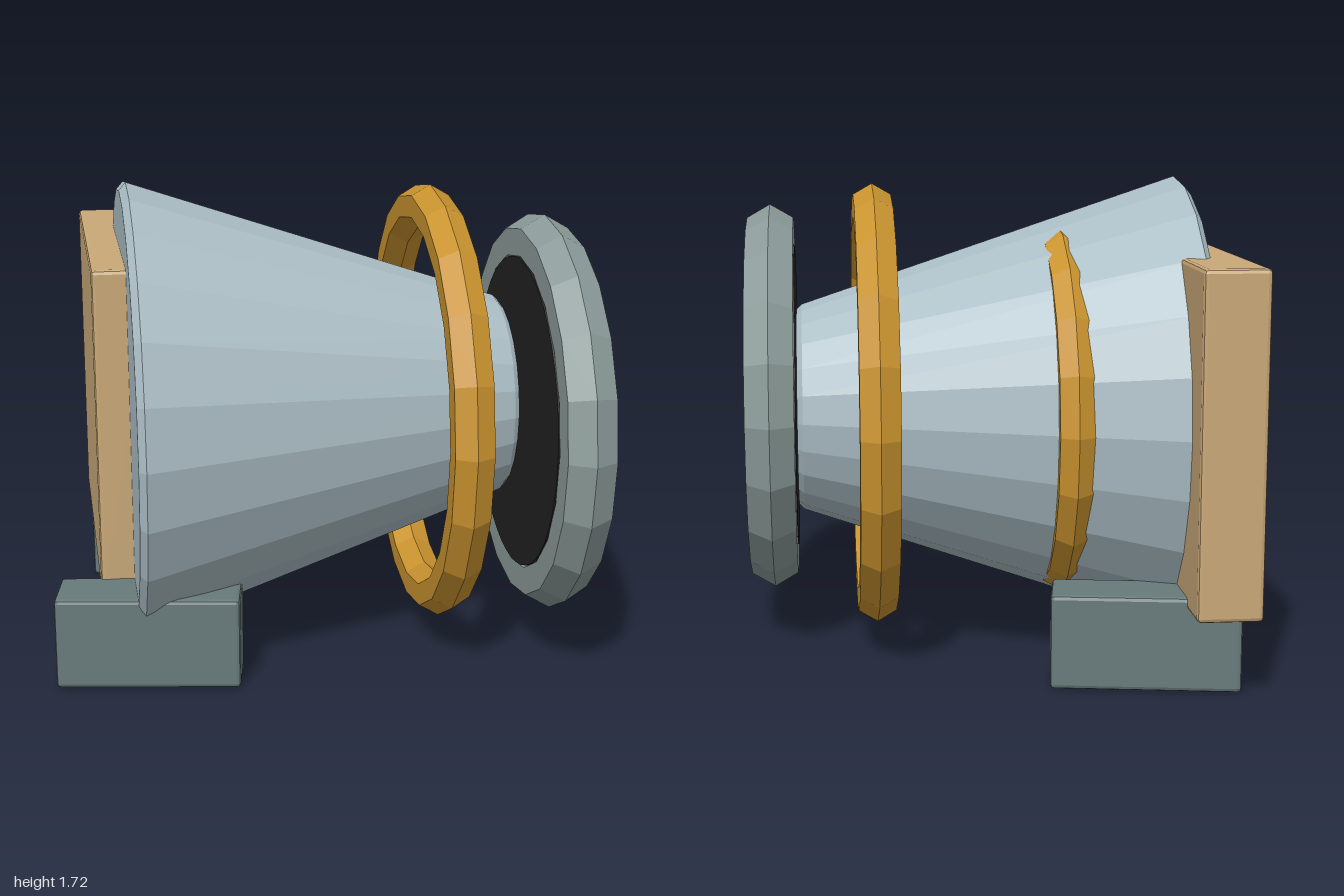
import * as THREE from 'three';
import { RoundedBoxGeometry } from 'three/addons/geometries/RoundedBoxGeometry.js';

const TILT = THREE.MathUtils.degToRad(9);
const MID = 0.877; // height of the shared axis

function paint(name, hex) {
  const m = new THREE.MeshStandardMaterial({ color: hex });
  m.name = name;
  m.flatShading = true;
  return m;
}

export function createModel() {
  const model = new THREE.Group();
  model.name = 'model';

  const shell = paint('paleBlueGrey', 0xabbec5);
  const flange = paint('greyGreen', 0x8c9c9a);
  const iron = paint('darkSlate', 0x687a7a);
  const gold = paint('gold', 0xcb942f);
  const wood = paint('tan', 0xc8a878);
  const dark = paint('black', 0x222222);

  const add = (name, geometry, material, x, y, z, turn = 0) => {
    const mesh = new THREE.Mesh(geometry, material);
    mesh.name = name;
    mesh.position.set(x, y, z);
    mesh.rotation.y = turn;
    model.add(mesh);
    return mesh;
  };

  // Ring with a six-sided section, its axis along x
  const ring = (radius, tube) =>
    new THREE.TorusGeometry(radius, tube, 6, 20).rotateY(Math.PI / 2);

  // Tapered body with chamfered ends
  const profile = [
    [0, -0.025], [0.81, -0.025], [0.84, 0], [0.38, 1.37], [0.36, 1.39], [0, 1.39],
  ].map(([r, h]) => new THREE.Vector2(r, h));
  const body = new THREE.LatheGeometry(profile, 24).rotateZ(-Math.PI / 2);
  add('taperedBody', body, shell, -0.71, MID, 0.065, TILT);

  // Mouth flange and its dark disc
  add('mouthFlange', ring(0.63, 0.1), flange, 0.8, MID - 0.002, 0.1, TILT);
  const disc = new THREE.CylinderGeometry(0.572, 0.572, 0.06, 48).rotateZ(-Math.PI / 2);
  disc.translate(-0.06, 0, 0);
  add('mouthDisc', disc, dark, 0.8, MID - 0.002, 0.1, TILT);

  // Loose hoop, and a hoop mostly sunk in the body
  add('outerHoop', ring(0.735, 0.08), gold, 0.395, MID, -0.045, TILT);
  add('sunkenHoop', ring(0.61, 0.07), gold, -0.28, MID, -0.067, TILT);

  // Back slab
  add('backSlab', new RoundedBoxGeometry(0.225, 1.175, 1.3, 1, 0.015), wood,
    -0.79, 0.878, -0.225, TILT);

  // Feet
  for (const [name, z] of [['frontFoot', 0.525], ['backFoot', -0.605]]) {
    add(name, new RoundedBoxGeometry(0.655, 0.332, 0.232, 1, 0.015), iron, -0.617, 0.166, z);
  }

  return model;
}
